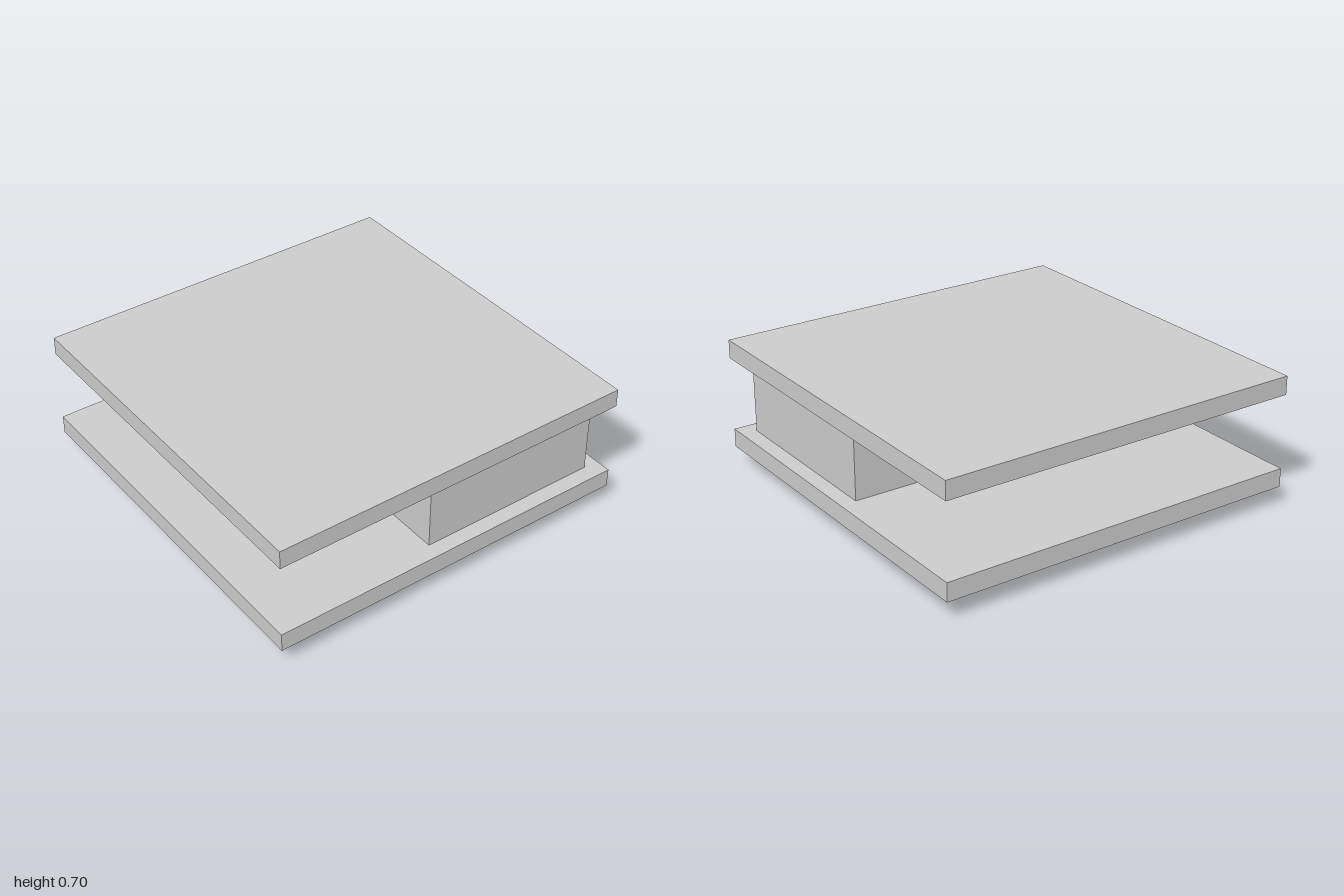
import * as THREE from 'three';

export function createModel() {
  const model = new THREE.Group();
  const material = new THREE.MeshStandardMaterial({ color: 0xcccccc });

  const add = (name, geometry, x, y, z) => {
    const mesh = new THREE.Mesh(geometry, material);
    mesh.name = name;
    mesh.position.set(x, y, z);
    model.add(mesh);
  };

  // Two square slabs
  const slab = new THREE.BoxGeometry(2, 0.1, 2);
  add('bottomShelf', slab, 0, 0.15, 0);
  add('tableTop', slab, 0, 0.65, 0);

  // Off-centre block carrying the top
  add('supportBlock', new THREE.BoxGeometry(1, 0.4, 1), 0.415, 0.4, -0.415);

  // Four round feet
  const foot = new THREE.CylinderGeometry(0.062, 0.062, 0.1, 32);
  for (const x of [-0.775, 0.765]) {
    for (const z of [-0.79, 0.79]) add('foot', foot, x, 0.05, z);
  }

  return model;
}
